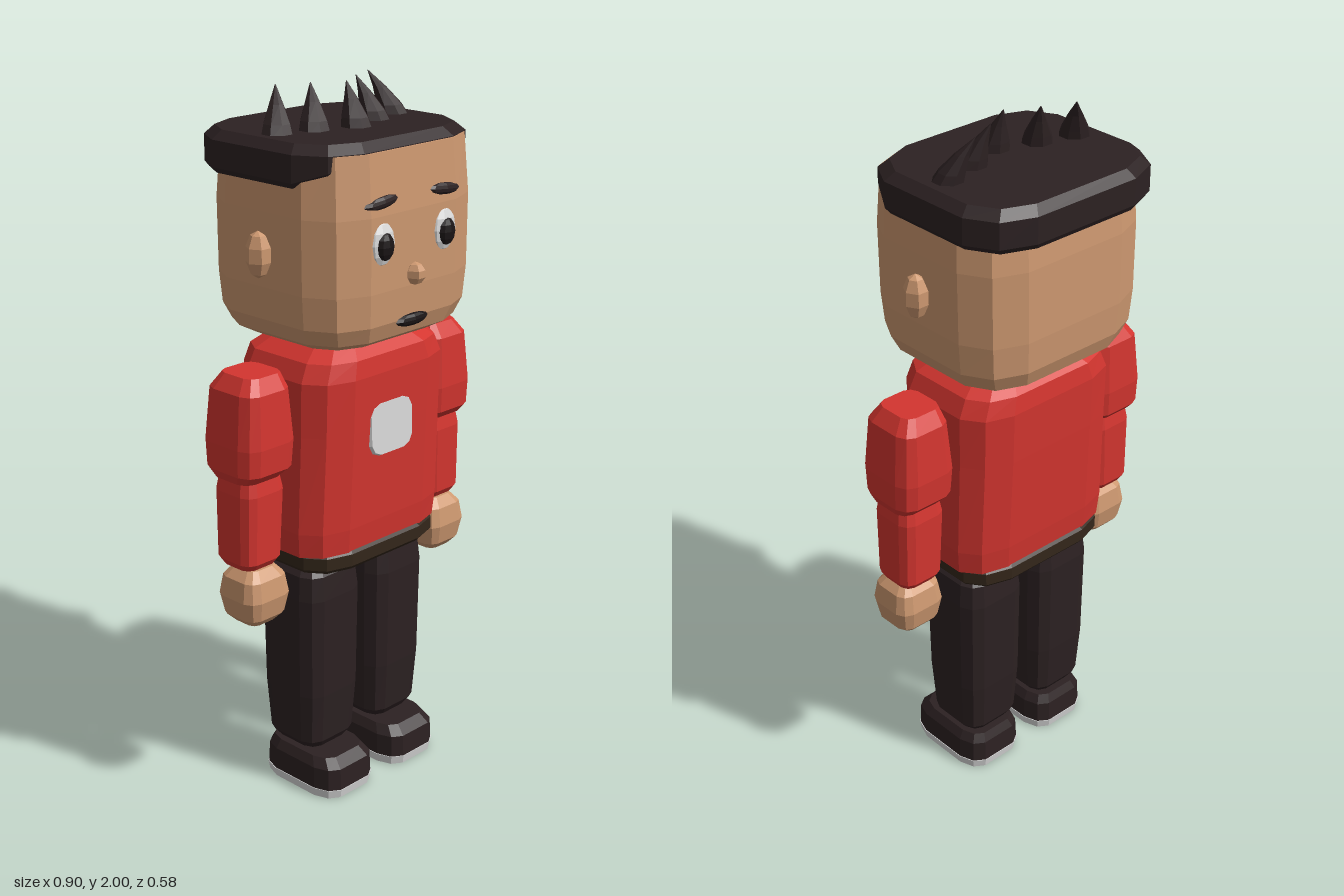
import * as THREE from 'three';

const mat = (name, color) => {
  const m = new THREE.MeshStandardMaterial({ color });
  m.name = name;
  return m;
};

// Rounded-box outline, counter-clockwise seen from above, as [x, z] in -1..1
const quarter = [[1, 0.55], [0.85, 0.86], [0.55, 1]];
const flip = quarter.slice().reverse();
const BOX = [
  ...quarter.map(([x, z]) => [x, -z]), ...flip.map(([x, z]) => [-x, -z]),
  ...quarter.map(([x, z]) => [-x, z]), ...flip.map(([x, z]) => [x, z]),
];
const OCT = Array.from({ length: 8 }, (_, i) => {
  const a = (i + 0.5) * Math.PI / 4;
  return [Math.cos(a), -Math.sin(a)];
});

// Faceted solid through rings [y, halfWidth, halfDepth, x, z]; lift bends a ring's height
function loft(rings, outline = BOX, lift = () => 0) {
  const n = outline.length, pos = [], idx = [];
  rings.forEach(([y, w, d, cx = 0, cz = 0], r) => outline.forEach(([ox, oz]) => {
    pos.push(cx + ox * w, y + lift(r, ox, oz), cz + oz * d);
  }));
  for (let r = 0; r < rings.length - 1; r++) {
    for (let i = 0; i < n; i++) {
      const a = r * n + i, b = r * n + (i + 1) % n;
      idx.push(a, b, b + n, a, b + n, a + n);
    }
  }
  const top = (rings.length - 1) * n;
  for (let i = 1; i < n - 1; i++) idx.push(0, i + 1, i, top, top + i, top + i + 1);
  const g = new THREE.BufferGeometry();
  g.setAttribute('position', new THREE.Float32BufferAttribute(pos, 3));
  g.setIndex(idx);
  return facet(g);
}

function facet(g) {
  const f = g.toNonIndexed();
  f.computeVertexNormals();
  return f;
}

const blob = (rx, ry, rz, sides = 8, rows = 6) =>
  facet(new THREE.SphereGeometry(1, sides, rows).scale(rx, ry, rz));

export function createModel() {
  const model = new THREE.Group();
  const red = mat('red shirt', 0xd3352f);
  const skin = mat('skin', 0xcd9870);
  const dark = mat('dark hair and trousers', 0x2c2122);
  const beltBrown = mat('belt brown', 0x33261a);
  const white = mat('light grey', 0xdadada);
  const black = mat('pupil black', 0x1b1516);

  const add = (name, geo, material, x = 0, y = 0, z = 0) => {
    const m = new THREE.Mesh(geo, material);
    m.name = name;
    m.position.set(x, y, z);
    model.add(m);
    return m;
  };

  // Head and neck
  add('neck', loft([[1.28, 0.1, 0.08], [1.37, 0.1, 0.08]]), skin);
  add('head', loft([
    [1.34, 0.22, 0.19], [1.365, 0.265, 0.235], [1.41, 0.287, 0.252],
    [1.5, 0.295, 0.258], [1.7, 0.297, 0.258], [1.86, 0.288, 0.245],
  ]), skin);

  // Flat hair cap, raised over the forehead
  add('hairCap', loft([
    [1.775, 0.295, 0.255, 0, -0.03], [1.79, 0.306, 0.266, 0, -0.028],
    [1.862, 0.306, 0.266, 0, -0.028], [1.886, 0.28, 0.243, 0, -0.03],
  ], BOX, (r, x, z) => (r < 2 && z > 0.7 ? 0.04 * (z - 0.5) * 2 : 0)), dark);

  // Curved hair spikes: base x, z then tip x, z
  [[-0.22, -0.02, -0.172, -0.075], [-0.115, 0.01, -0.085, -0.035], [0, 0.05, 0, 0.012],
    [0.115, 0.01, 0.085, -0.035], [0.22, -0.02, 0.172, -0.075]].forEach(([x, z, tx, tz]) => {
    const at = (t) => [x + (tx - x) * t, z + (tz - z) * t];
    add('hairSpike', loft([
      [1.875, 0.046, 0.045, ...at(0)], [1.91, 0.037, 0.037, ...at(0.2)],
      [1.955, 0.019, 0.02, ...at(0.55)], [2, 0.001, 0.001, ...at(1)],
    ], OCT), dark);
  });

  // Face
  add('nose', blob(0.027, 0.031, 0.032, 6, 5), skin, 0, 1.53, 0.26);
  add('mouth', blob(0.062, 0.017, 0.014), black, 0, 1.405, 0.253);

  for (const s of [-1, 1]) {
    add('ear', blob(0.034, 0.063, 0.037, 6, 5), skin, s * 0.312, 1.59, 0);
    add('eyeWhite', blob(0.046, 0.06, 0.022, 10, 6), white, s * 0.118, 1.627, 0.25);
    add('pupil', blob(0.029, 0.037, 0.016), black, s * 0.118, 1.622, 0.266);
    const brow = add('eyebrow', blob(0.064, 0.017, 0.016), dark, s * 0.118, 1.734, 0.25);
    brow.rotation.z = -s * 0.1;

    // Arm: short sleeve bulge, lower sleeve, hand
    add('upperArm', loft([
      [1.0, 0.072, 0.072, s * 0.365], [1.025, 0.09, 0.095, s * 0.357],
      [1.1, 0.093, 0.1, s * 0.355], [1.245, 0.08, 0.09, s * 0.354],
      [1.285, 0.06, 0.065, s * 0.345],
    ]), red);
    add('lowerArm', loft([
      [0.745, 0.056, 0.056, s * 0.364], [0.765, 0.068, 0.07, s * 0.364],
      [0.96, 0.073, 0.074, s * 0.358], [1.02, 0.062, 0.064, s * 0.358],
    ]), red);
    add('hand', loft([
      [0.58, 0.045, 0.045], [0.603, 0.068, 0.066], [0.66, 0.079, 0.077],
      [0.715, 0.07, 0.068], [0.742, 0.046, 0.045],
    ].map(([y, w, d]) => [y, w, d, s * 0.362, 0.015])), skin);

    // Leg and shoe
    add('leg', loft([
      [0.125, 0.075, 0.08], [0.15, 0.095, 0.097], [0.3, 0.104, 0.108],
      [0.6, 0.107, 0.113], [0.67, 0.1, 0.106], [0.697, 0.078, 0.085],
    ].map(([y, w, d]) => [y, w, d, s * 0.131])), dark);
    add('sole', loft([
      [0, 0.1, 0.14, s * 0.132, 0.033], [0.026, 0.104, 0.145, s * 0.132, 0.033],
    ]), white);
    add('shoe', loft([
      [0.026, 0.102, 0.143, s * 0.132, 0.033], [0.09, 0.1, 0.14, s * 0.132, 0.033],
      [0.116, 0.085, 0.12, s * 0.132, 0.025],
    ]), dark);
  }

  // Torso, belt and chest patch
  add('torso', loft([
    [0.75, 0.262, 0.163], [0.82, 0.268, 0.17], [1.1, 0.262, 0.182],
    [1.25, 0.262, 0.187], [1.3, 0.238, 0.18], [1.33, 0.19, 0.145],
  ]), red);
  add('belt', loft([
    [0.698, 0.24, 0.16], [0.71, 0.25, 0.17], [0.745, 0.25, 0.17], [0.757, 0.24, 0.16],
  ]), beltBrown);
  const patch = add('chestPatch',
    loft([[0, 0.084, 0.077], [0.008, 0.08, 0.073]]), white, 0, 1.09, 0.179);
  patch.rotation.x = Math.PI / 2 - 0.035;

  return model;
}
